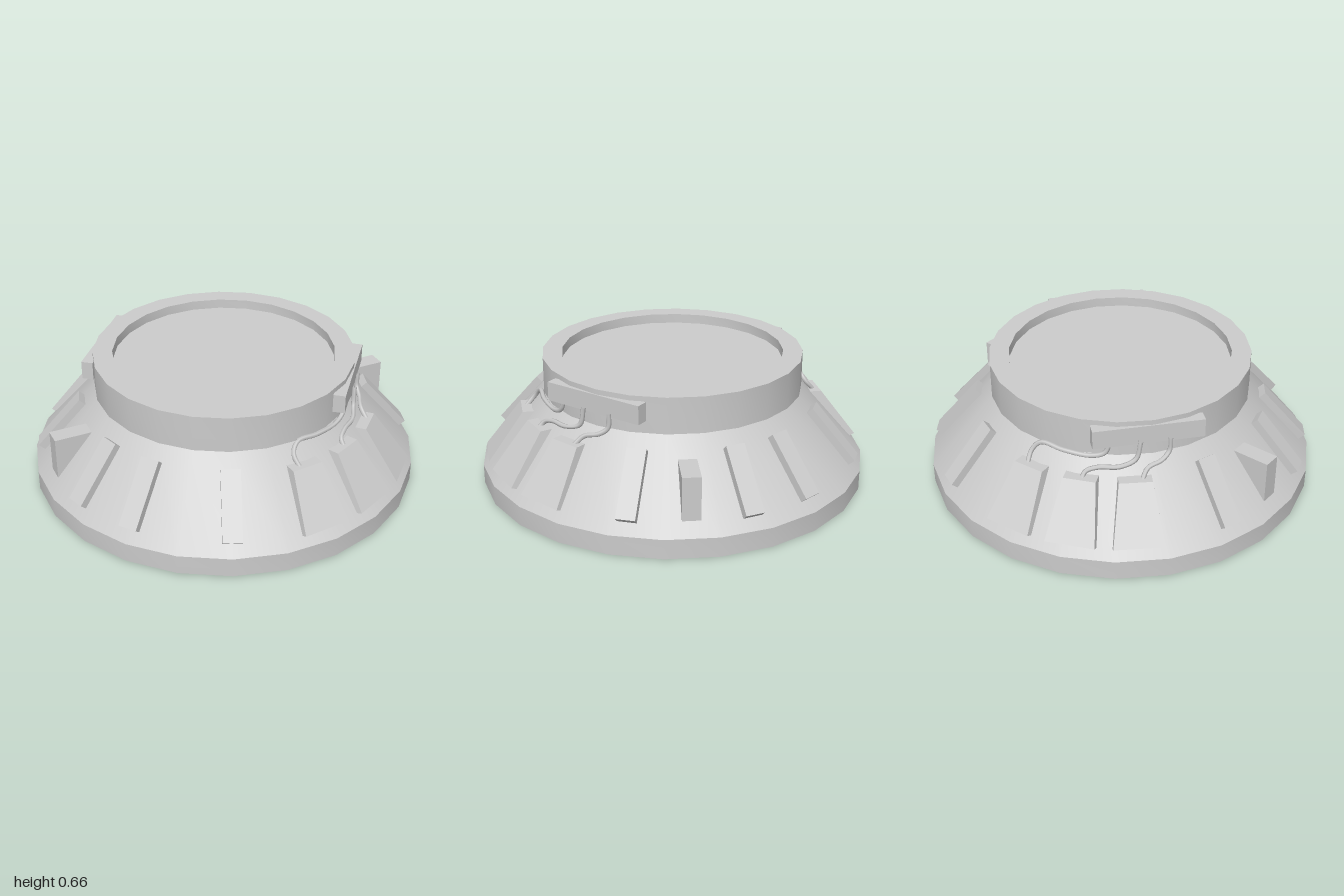
import * as THREE from 'three';
import { toCreasedNormals } from 'three/addons/utils/BufferGeometryUtils.js';

const material = new THREE.MeshStandardMaterial({ color: 0xcccccc });
const rad = THREE.MathUtils.degToRad;
const v2 = (p) => new THREE.Vector2(p[0], p[1]);

// radius of the sloping skirt at height y
const coneRadius = (y) => 1 - (y - 0.1) * 0.33 / 0.375;

function add(parent, geometry, name) {
  const mesh = new THREE.Mesh(geometry, material);
  mesh.name = name;
  parent.add(mesh);
  return mesh;
}

// block from a (radius, height) profile, tapering from bottom to top width,
// set at an angle measured from the front towards +x
function addBlock(parent, name, profile, bottomWidth, topWidth, angle) {
  const g = new THREE.ExtrudeGeometry(new THREE.Shape(profile.map(v2)), { depth: 1, bevelEnabled: false });
  g.translate(0, 0, -0.5);
  const ys = profile.map((p) => p[1]);
  const low = Math.min(...ys), high = Math.max(...ys);
  const pos = g.attributes.position;
  for (let i = 0; i < pos.count; i++) {
    const t = (pos.getY(i) - low) / (high - low);
    pos.setZ(i, pos.getZ(i) * THREE.MathUtils.lerp(bottomWidth, topWidth, t));
  }
  g.computeVertexNormals();
  add(parent, g, name).rotation.y = rad(angle - 90);
}

const PANEL = [[0.972, 0.155], [0.787, 0.398], [0.72, 0.398], [0.93, 0.138]];
const RIB = [[0.978, 0.178], [0.752, 0.435], [0.707, 0.395], [0.933, 0.138]];
const FIN = [[0.937, 0.16], [0.937, 0.382], [0.72, 0.382], [0.90, 0.16]];

// cable routes in front elevation (x, y), laid against the skirt and collar
const CABLES = [
  [[-0.25, 0.38], [-0.243, 0.44], [-0.2, 0.484], [-0.08, 0.48], [0.06, 0.476], [0.125, 0.5], [0.148, 0.56]],
  [[0.035, 0.38], [0.045, 0.415], [0.1, 0.435], [0.2, 0.44], [0.265, 0.465], [0.285, 0.56]],
  [[0.31, 0.38], [0.325, 0.43], [0.38, 0.452], [0.405, 0.485], [0.41, 0.56]],
];

// everything mounted on one half of the base
function createHalf() {
  const half = new THREE.Group();
  for (const a of [-17.2, 2.3, 21.7]) addBlock(half, 'taperedPanel', PANEL, 0.25, 0.16, a);
  for (const a of [49.5, 85.2, 105, 135]) addBlock(half, 'rib', RIB, 0.095, 0.095, a);
  addBlock(half, 'fin', FIN, 0.09, 0.09, 67.6);

  // connector box on the collar
  const box = add(half, new THREE.BoxGeometry(0.54, 0.095, 0.06), 'connectorBox');
  const a = rad(28);
  box.position.set(Math.sin(a) * 0.645, 0.587, Math.cos(a) * 0.645);
  box.rotation.y = a;

  // cables from the panels to the box
  for (const route of CABLES) {
    const pts = route.map(([x, y]) => {
      const r = Math.max(coneRadius(y) + 0.014, 0.688);
      return new THREE.Vector3(x, y, Math.sqrt(r * r - x * x));
    });
    add(half, new THREE.TubeGeometry(new THREE.CatmullRomCurve3(pts), 28, 0.012, 6), 'cable');
  }
  return half;
}

export function createModel() {
  const model = new THREE.Group();
  model.name = 'roundBase';

  // body: recessed underside, rim, sloping skirt, collar and recessed top
  const profile = [[0, 0.05], [0.9, 0.05], [0.9, 0], [1, 0], [1, 0.1], [0.67, 0.475],
    [0.67, 0.66], [0.57, 0.66], [0.57, 0.61], [0, 0.61]];
  const body = new THREE.LatheGeometry(profile.map(v2), 24);
  add(model, toCreasedNormals(body, rad(30)), 'body');

  // the fittings repeat after half a turn
  for (let i = 0; i < 2; i++) {
    const half = createHalf();
    half.name = i ? 'backFittings' : 'frontFittings';
    half.rotation.y = i * Math.PI;
    model.add(half);
  }
  return model;
}
